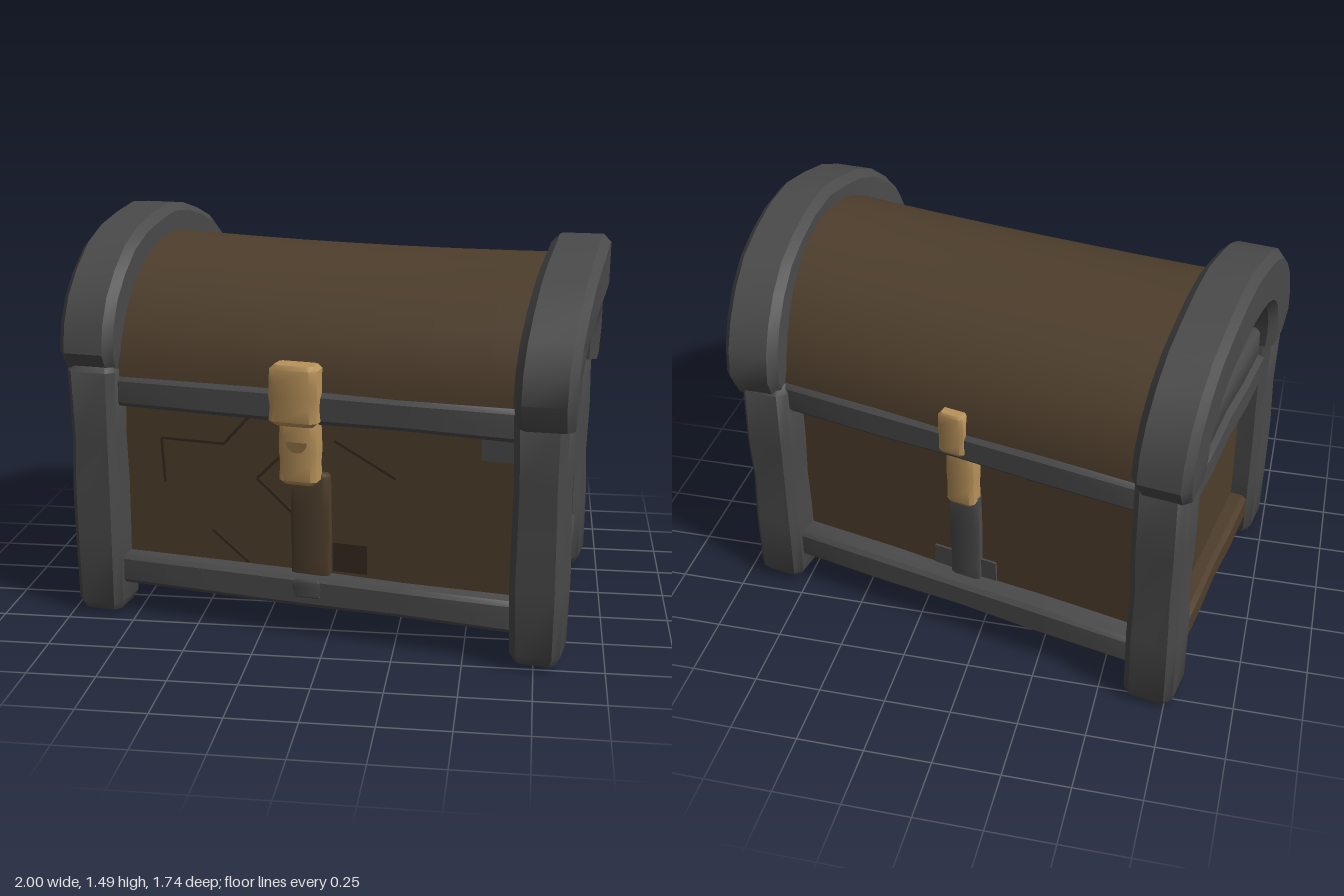
import * as THREE from 'three';
import { toCreasedNormals } from 'three/addons/utils/BufferGeometryUtils.js';

const V = (x, y, z) => new THREE.Vector3(x, y, z);
const material = (name, color) => {
  const m = new THREE.MeshStandardMaterial({ color });
  m.name = name;
  return m;
};

// Post centres on the ground plan: the chest is slightly skewed
const plan = { FL: V(-0.88, 0, 0.36), FR: V(0.765, 0, 0.69), BL: V(-0.7, 0, -0.7), BR: V(0.845, 0, -0.34) };
const at = (u, v, y) => {
  const s = (u + 1) / 2, t = (v + 1) / 2;
  const back = plan.BL.clone().lerp(plan.BR, s), front = plan.FL.clone().lerp(plan.FR, s);
  return back.lerp(front, t).setY(y);
};

// Skin closed rings of points, with flat fans at both ends
function skin(rings, crease = 0.7) {
  const pos = [], idx = [], n = rings[0].length, last = rings.length - 1;
  rings.forEach(r => r.forEach(p => pos.push(p.x, p.y, p.z)));
  for (let j = 0; j < last; j++) for (let i = 0; i < n; i++) {
    const a = j * n + i, b = j * n + (i + 1) % n;
    idx.push(a, b, b + n, a, b + n, a + n);
  }
  for (let i = 1; i < n - 1; i++) idx.push(0, i + 1, i, last * n, last * n + i, last * n + i + 1);
  const g = new THREE.BufferGeometry();
  g.setAttribute('position', new THREE.Float32BufferAttribute(pos, 3));
  g.setIndex(idx);
  return toCreasedNormals(g, crease);
}

// Chamfered square section with half axes a and b around c
const K = 0.72;
const SECTION = [[1, -K], [1, K], [K, 1], [-K, 1], [-1, K], [-1, -K], [-K, -1], [K, -1]];
const ring = (c, a, b, k = 1) => SECTION.map(([s, t]) => c.clone().addScaledVector(a, s * k).addScaledVector(b, t * k));

// Hand-hewn beam from p to q; w across, h high (or deep for upright beams)
function beam(p, q, w, h, wobble = 0.05, turn = 0) {
  const d = q.clone().sub(p), len = d.length();
  d.normalize();
  const upright = Math.abs(d.y) > 0.9;
  const b = upright ? V(Math.cos(turn), 0, -Math.sin(turn)) : V(0, 1, 0);
  const a = b.clone().cross(d).normalize();
  a.multiplyScalar(w / 2);
  b.multiplyScalar(h / 2);
  const e = Math.min(0.25, 0.15 * Math.min(w, h) / len + 0.005);
  const rings = [0, e, 0.3, 0.5, 0.7, 1 - e, 1].map((t, i) => {
    const k = i === 0 || i === 6 ? 0.8 : 1 + wobble * Math.sin(i * 2.3 + p.x * 7 + p.z * 5);
    return ring(p.clone().lerp(q, t), a, b, k);
  });
  return skin(rings);
}

export function createModel() {
  const chest = new THREE.Group();
  chest.name = 'treasureChest';
  const iron = material('darkIron', 0x4a4a4a), wood = material('brownWood', 0x4e3e2c);
  const gold = material('brass', 0xb8925a), crack = material('crackBrown', 0x35291d);
  const shade = material('dullBrass', 0x8c6f45);
  const add = (name, geo, mat, parent = chest) => {
    const m = new THREE.Mesh(geo, mat);
    m.name = name;
    parent.add(m);
    return m;
  };

  // Wooden body, its walls set back from the rails
  const corners = y => [at(-1, 0.96, y), at(1, 0.96, y), at(1, -0.92, y), at(-1, -0.92, y)];
  add('body', skin([corners(0.12), corners(0.92)], 0.1), wood);

  // Barrel lid, slightly sagging in the middle
  const lidRings = [];
  for (let j = 0; j <= 8; j++) {
    const u = -1.03 + 2.06 * j / 8;
    const top = 1.365 + 0.015 * u * u - 0.005 * u;
    const r = [];
    for (let i = 0; i <= 20; i++) {
      const t = Math.PI * i / 20;
      r.push(at(u, -1.07 * Math.cos(t), 0.9 + (top - 0.9) * Math.sin(t)));
    }
    lidRings.push(r);
  }
  add('lid', skin(lidRings, 0.6), wood);

  // Corner posts
  const posts = [['FL', 0.015, 0.98], ['FR', 0.025, 0.95], ['BL', 0, 1.0], ['BR', 0.02, 0.93]];
  for (const [key, foot, top] of posts) {
    const c = plan[key];
    add('cornerPost', beam(c.clone().setY(foot), c.clone().setY(top), 0.2, 0.185, 0.04, -0.17), iron);
  }

  // Rails along front, back and ends
  const rail = (name, u0, v0, u1, v1, y, w, h, mat = iron) =>
    add(name, beam(at(u0, v0, y), at(u1, v1, y), w, h), mat);
  for (const s of [1, -1]) {
    const side = s > 0 ? 'front' : 'back';
    rail(side + 'UpperRail', -1, s, 1, s, 0.87, 0.1, 0.115);
    rail(side + 'LowerRail', -1, s, 1, s, 0.175, 0.1, 0.115);
    rail('endUpperRail', s, -1, s, 1, 0.845, 0.15, 0.12);
    rail('lidEndStrip', s, -1, s, 1, 0.96, 0.11, 0.14);
  }
  rail('leftLowerRail', 1, -1, 1, 1, 0.175, 0.13, 0.16);
  rail('rightLowerRail', -1, -1, -1, 1, 0.16, 0.13, 0.11, wood);

  // Arched bands over each end of the lid
  function arch(name, x, z, turn, baseY, cy, bow) {
    const rings = [], X = V(0.105, 0, 0);
    const station = (inner, outer, k) => {
      const c = inner.clone().add(outer).multiplyScalar(0.5);
      const b = outer.clone().sub(inner).multiplyScalar(0.5);
      c.x = bow * (1 - (c.z / 0.6) ** 2);
      rings.push(ring(c, X, b, k));
    };
    station(V(0, baseY, -0.43), V(0, baseY - 0.01, -0.63), 0.92);
    for (let i = 0; i <= 14; i++) {
      const t = Math.PI * (1 - i / 14), c = Math.cos(t), s = Math.sin(t);
      const f = 1 + 0.012 * Math.sin(i * 2.1);
      station(V(0, cy + 0.26 * s, 0.43 * c), V(0, cy + 0.465 * s * f, 0.675 * c), 1);
    }
    station(V(0, baseY, 0.43), V(0, baseY - 0.01, 0.63), 0.92);
    const m = add(name, skin(rings), iron);
    m.position.set(x, 0, z);
    m.rotation.y = turn;
  }
  arch('leftArch', 0.812, 0.195, -0.095, 0.89, 0.98, 0.06);
  arch('rightArch', -0.795, -0.185, -0.165, 0.95, 1.02, -0.015);

  // Groups lying on the front and back walls, local +z pointing outward
  const wall = (name, x, z, turn) => {
    const g = new THREE.Group();
    g.name = name;
    g.position.set(x, 0, z);
    g.rotation.y = turn;
    chest.add(g);
    return g;
  };
  const front = wall('frontFittings', -0.1, 0.515, -0.196);
  const back = wall('backFittings', 0.08, -0.52, Math.PI - 0.227);
  const slab = (name, parent, mat, x, y0, y1, w, z, d) =>
    add(name, beam(V(x, y0, z), V(x, y1, z), d, w, 0.03), mat, parent);

  // Front clasp, lock and strap
  slab('claspPlate', front, gold, 0, 0.81, 1.03, 0.18, 0.05, 0.1);
  slab('lockPlate', front, gold, 0.01, 0.59, 0.84, 0.14, 0.035, 0.085);
  const keyhole = add('keyhole', new THREE.CircleGeometry(0.04, 12, Math.PI, Math.PI), shade, front);
  keyhole.position.set(0.01, 0.75, 0.081);
  slab('frontStrap', front, wood, 0.035, 0.16, 0.62, 0.145, -0.01, 0.06);
  slab('strapFoot', front, iron, 0.035, 0.15, 0.225, 0.13, 0.025, 0.06);

  // Back hinge and strap
  slab('hingeTop', back, gold, 0, 0.84, 1.01, 0.1, 0.03, 0.06);
  slab('hingeLower', back, gold, 0.01, 0.59, 0.84, 0.11, -0.02, 0.08);
  slab('backStrap', back, iron, 0.01, 0.15, 0.62, 0.12, -0.035, 0.05);

  // Cracks and worn patches in the planks
  const cracks = [
    [[-0.55, 0.52], [-0.56, 0.69], [-0.31, 0.69], [-0.21, 0.8]],
    [[0.05, 0.8], [-0.18, 0.57], [0.05, 0.37]],
    [[0.12, 0.74], [0.35, 0.62]],
    [[-0.36, 0.35], [-0.22, 0.24]],
  ];
  for (const line of cracks) for (let i = 1; i < line.length; i++) {
    const [[x0, y0], [x1, y1]] = [line[i - 1], line[i]];
    const m = add('crack', new THREE.BoxGeometry(Math.hypot(x1 - x0, y1 - y0), 0.01, 0.008), crack, front);
    m.position.set((x0 + x1) / 2, (y0 + y1) / 2, -0.018);
    m.rotation.z = Math.atan2(y1 - y0, x1 - x0);
  }
  const patch = (x, y, z, w, h, mat, parent) =>
    add('wornPatch', new THREE.BoxGeometry(w, h, 0.009), mat, parent).position.set(x, y, z);
  patch(0.72, 0.77, -0.018, 0.12, 0.1, iron, front);
  patch(0.18, 0.3, -0.018, 0.13, 0.11, crack, front);
  patch(0.0, 0.27, -0.038, 0.26, 0.09, iron, back);
  return chest;
}
